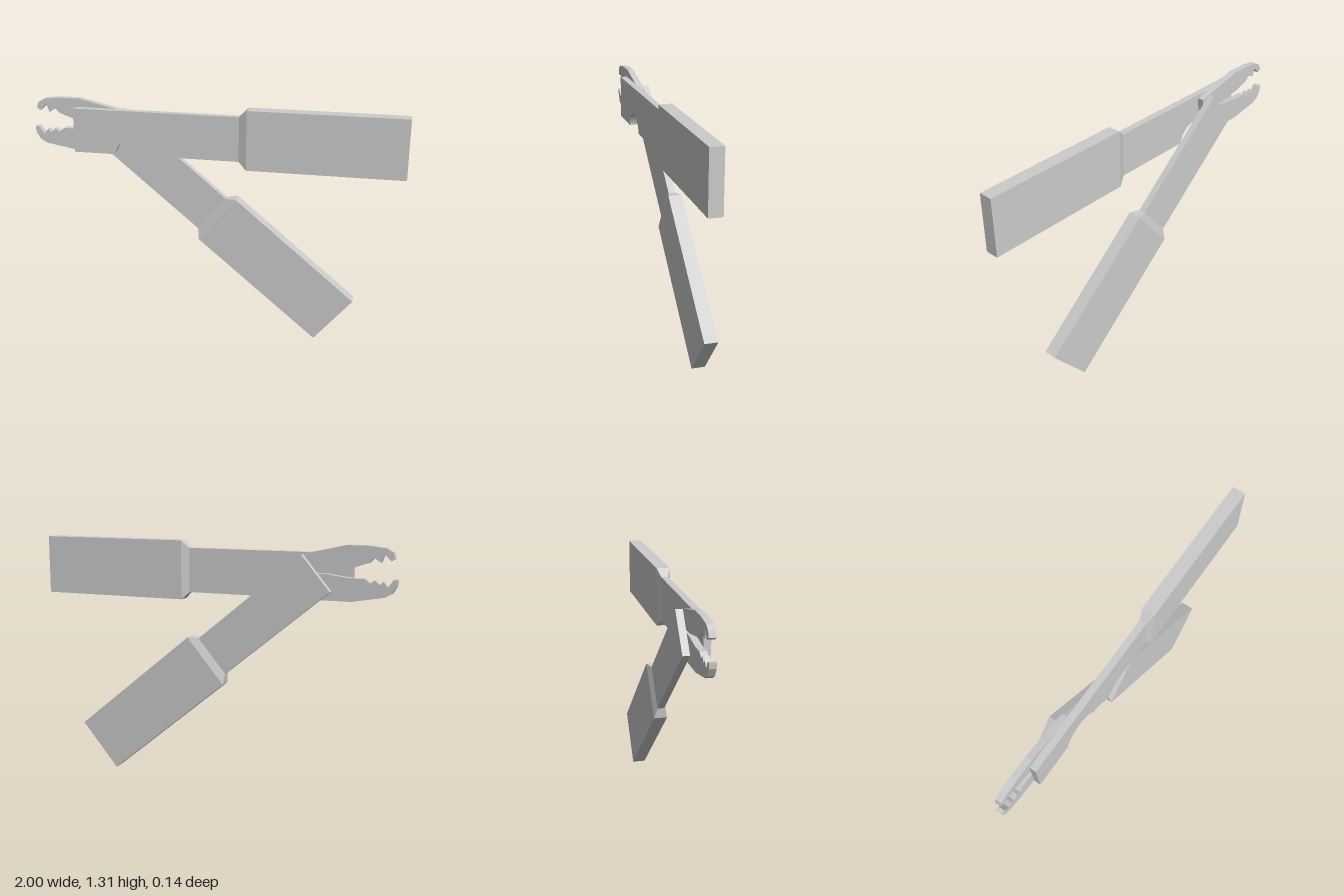
import * as THREE from 'three';

const material = new THREE.MeshStandardMaterial({ color: 0xcccccc, flatShading: true });
const INNER = 0.0175, OUTER = 0.0545, GRIP = 0.072; // layer depths from the middle plane

function addMesh(parent, name, geometry) {
  const mesh = new THREE.Mesh(geometry, material);
  mesh.name = name;
  parent.add(mesh);
  return mesh;
}

// Flat plate between two depths
function plate(shape, z0, z1) {
  const geo = new THREE.ExtrudeGeometry(shape, { depth: z1 - z0, bevelEnabled: false, curveSegments: 9 });
  return geo.translate(0, 0, z0);
}

// Loft of rectangular sections [x, halfHeight, z0, z1], capped at both ends
function rectLoft(sections) {
  const pos = [], index = [];
  for (const [x, h, z0, z1] of sections) pos.push(x, -h, z0, x, h, z0, x, h, z1, x, -h, z1);
  const quad = (a, b, c, d) => index.push(a, b, c, a, c, d);
  for (let s = 0; s < sections.length - 1; s++) {
    for (let i = 0; i < 4; i++) {
      const a = s * 4 + i, b = s * 4 + (i + 1) % 4;
      quad(a, b, b + 4, a + 4);
    }
  }
  const e = (sections.length - 1) * 4;
  quad(3, 2, 1, 0);
  quad(e, e + 1, e + 2, e + 3);
  const geo = new THREE.BufferGeometry();
  geo.setAttribute('position', new THREE.Float32BufferAttribute(pos, 3));
  geo.setIndex(index);
  const flat = geo.toNonIndexed();
  flat.computeVertexNormals();
  return flat;
}

// Handle along x, with its origin where the blade meets the grip; side is +1 front, -1 back
function makeHandle(name, side, bladeLength, gripLength, notchX) {
  const group = new THREE.Group();
  group.name = name;
  const span = (a, b) => (side > 0 ? [a, b] : [-b, -a]);

  const blade = new THREE.Shape();
  blade.moveTo(-bladeLength, -0.12);
  if (notchX !== undefined) {
    // round pivot cut-out in the lower edge
    blade.lineTo(notchX - 0.108, -0.12);
    blade.absarc(notchX, -0.138, 0.11, Math.PI - 0.165, 0.165, true);
  }
  blade.lineTo(0, -0.12);
  blade.lineTo(0, 0.12);
  blade.lineTo(-bladeLength, 0.12);
  addMesh(group, 'blade', plate(blade, ...span(INNER, OUTER)));

  // grip with a short flared collar
  addMesh(group, 'grip', rectLoft([
    [0, 0.12, ...span(INNER, OUTER)],
    [0.042, 0.16, ...span(0, GRIP)],
    [gripLength, 0.16, ...span(0, GRIP)],
  ]));
  return group;
}

function makeJaw(points) {
  const shape = new THREE.Shape(points.map(([x, y]) => new THREE.Vector2(x, y)));
  return plate(shape, -INNER, INNER);
}

export function createModel() {
  const model = new THREE.Group();
  model.name = 'pliers';

  const front = makeHandle('frontHandle', 1, 0.9, 0.868, -0.565);
  front.position.set(0.132, 1.15, 0);
  model.add(front);

  const back = makeHandle('backHandle', -1, 0.734, 0.894);
  back.position.set(-0.027, 0.7, 0);
  back.rotation.z = -0.695;
  model.add(back);

  // toothed jaws in the middle layer
  addMesh(model, 'upperJaw', makeJaw([
    [-0.985, 1.255], [-0.975, 1.285], [-0.94, 1.305], [-0.855, 1.315], [-0.74, 1.315],
    [-0.53, 1.267], [-0.465, 1.25], [-0.47, 1.18], [-0.64, 1.18], [-0.77, 1.2],
    [-0.83, 1.222], [-0.855, 1.23], [-0.88, 1.255], [-0.915, 1.233], [-0.93, 1.277], [-0.965, 1.242],
  ]));
  addMesh(model, 'lowerJaw', makeJaw([
    [-1, 1.15], [-0.998, 1.12], [-0.975, 1.08], [-0.94, 1.06], [-0.77, 1.03], [-0.55, 1.03],
    [-0.52, 1.1], [-0.52, 1.17], [-0.64, 1.165], [-0.77, 1.148], [-0.835, 1.15], [-0.865, 1.127],
    [-0.885, 1.145], [-0.912, 1.122], [-0.93, 1.14], [-0.952, 1.11], [-0.98, 1.15],
  ]));

  return model;
}
